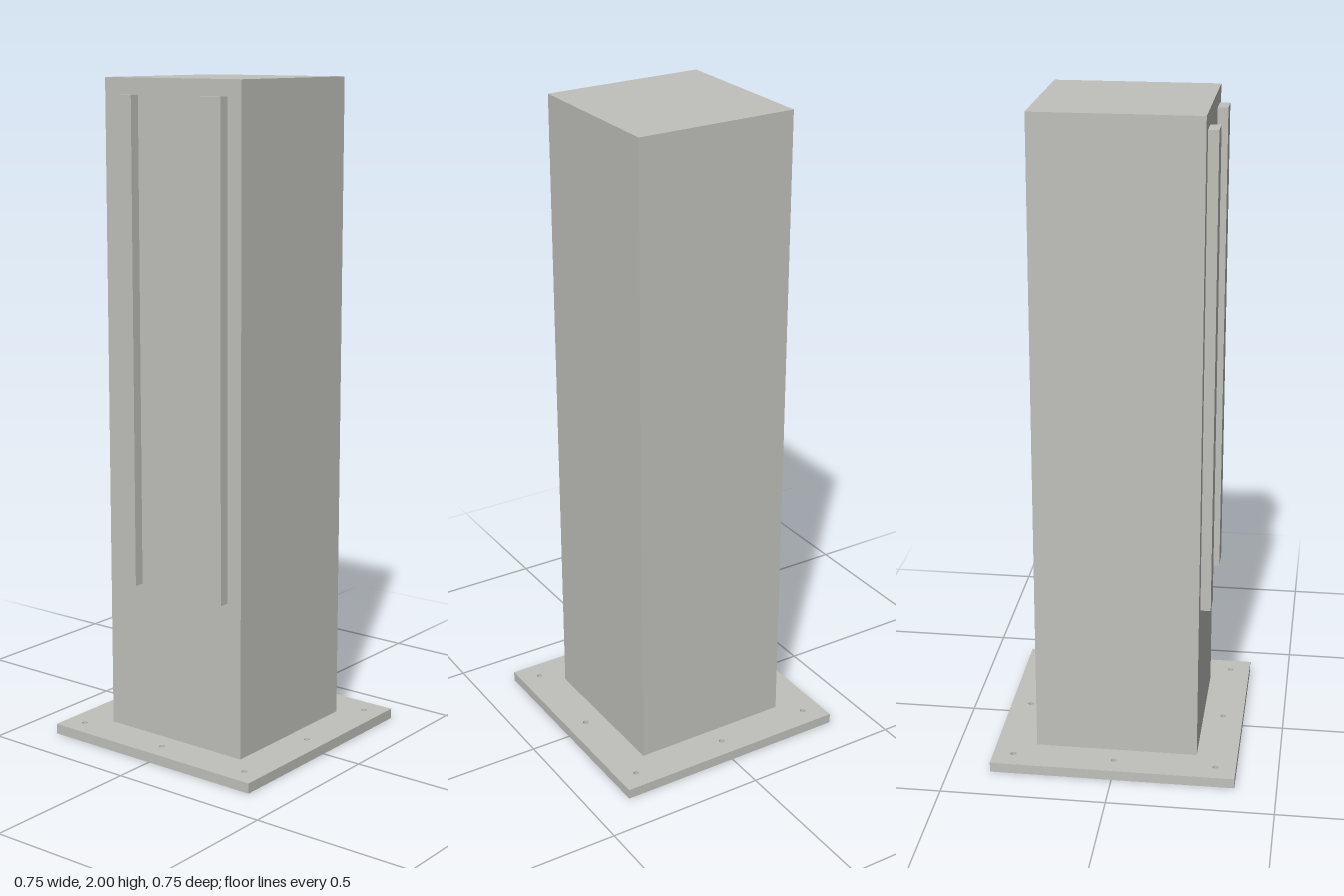
import * as THREE from 'three';

export function createModel() {
  const group = new THREE.Group();
  const steel = new THREE.MeshStandardMaterial({ color: 0xc0c0bb });
  steel.name = 'light grey steel';

  const add = (name, geometry, x = 0, y = 0, z = 0) => {
    const mesh = new THREE.Mesh(geometry, steel);
    mesh.name = name;
    mesh.position.set(x, y, z);
    group.add(mesh);
  };

  // Base plate with eight bolt holes around the edge
  const half = 0.373, thickness = 0.031, holeAt = 0.311, holeRadius = 0.009;
  const outline = new THREE.Shape([
    new THREE.Vector2(-half, -half),
    new THREE.Vector2(half, -half),
    new THREE.Vector2(half, half),
    new THREE.Vector2(-half, half),
  ]);
  for (const i of [-1, 0, 1]) {
    for (const j of [-1, 0, 1]) {
      if (i === 0 && j === 0) continue;
      const hole = new THREE.Path();
      hole.absarc(i * holeAt, j * holeAt, holeRadius, 0, Math.PI * 2, true);
      outline.holes.push(hole);
    }
  }
  const plate = new THREE.ExtrudeGeometry(outline, {
    depth: thickness, bevelEnabled: false, curveSegments: 24,
  });
  plate.rotateX(-Math.PI / 2);
  add('basePlate', plate);

  // Square column standing on the plate
  const side = 0.497, height = 2 - thickness;
  add('column', new THREE.BoxGeometry(side, height, side), 0, thickness + height / 2, 0);

  // Two vertical rails on the front face
  const railDepth = 0.031;
  for (const [name, s] of [['leftRail', 1], ['rightRail', -1]]) {
    add(name, new THREE.BoxGeometry(0.075, 1.453, railDepth),
      s * 0.162, 1.2265, side / 2 + railDepth / 2);
  }

  return group;
}
